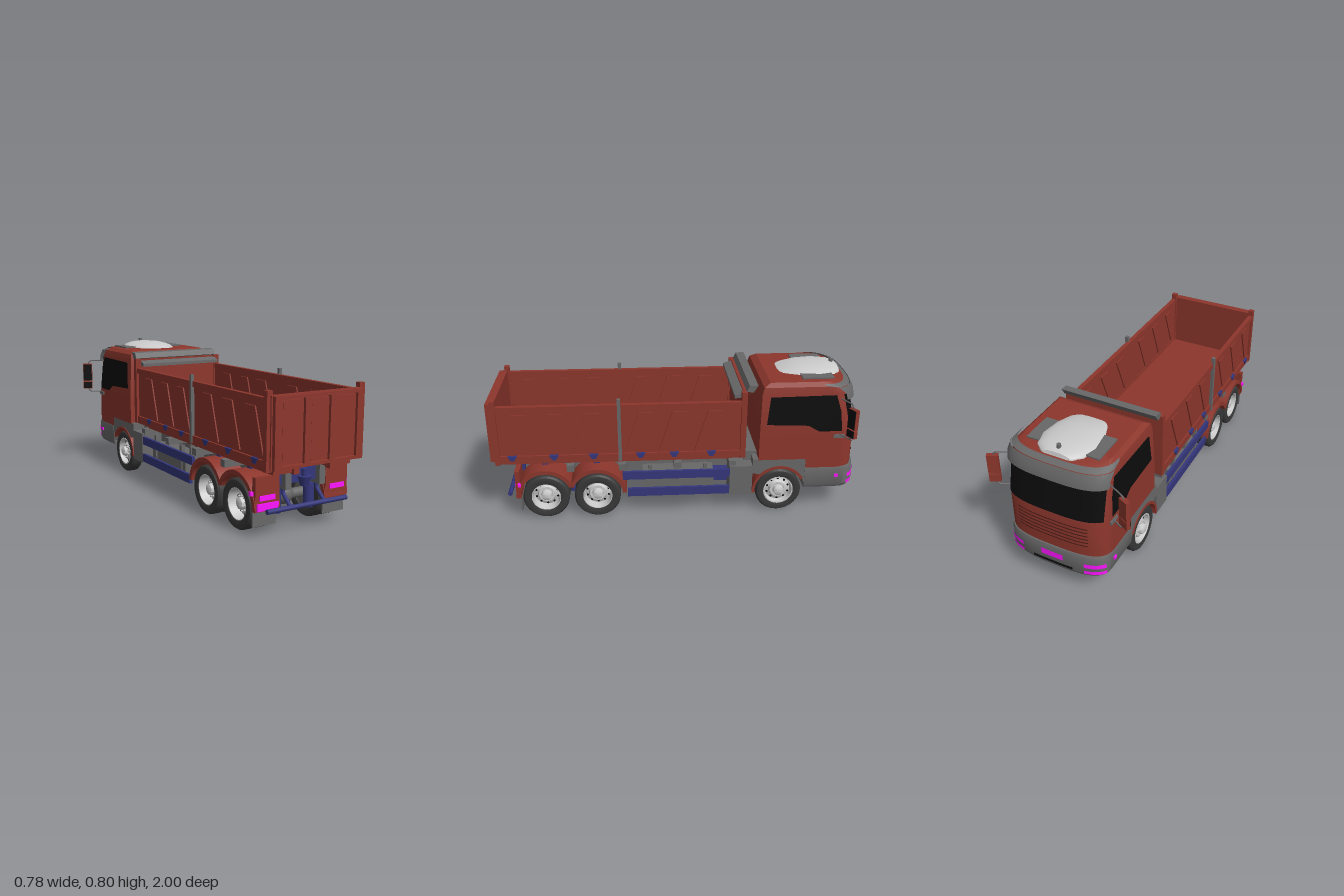
import * as THREE from 'three';
import { toCreasedNormals } from 'three/addons/utils/BufferGeometryUtils.js';

const mat = (color, side = THREE.FrontSide) => new THREE.MeshStandardMaterial({ color, side });
const RED = mat(0x8c362c), GROOVE = mat(0x4a1c17, THREE.DoubleSide), BLUE = mat(0x34367a), GREY = mat(0x686868, THREE.DoubleSide);
const LIGHT = mat(0xcccccc, THREE.DoubleSide), TYRE = mat(0x383838), BLACK = mat(0x0c0c0c, THREE.DoubleSide), LAMP = mat(0xff14ff, THREE.DoubleSide);

function add(parent, name, geometry, material, x = 0, y = 0, z = 0) {
  const mesh = new THREE.Mesh(geometry, material);
  mesh.name = name;
  mesh.position.set(x, y, z);
  parent.add(mesh);
  return mesh;
}
// Box given by its limits
function box(parent, name, material, x0, x1, y0, y1, z0, z1) {
  add(parent, name, new THREE.BoxGeometry(x1 - x0, y1 - y0, z1 - z0), material, (x0 + x1) / 2, (y0 + y1) / 2, (z0 + z1) / 2);
}
function boxPair(parent, name, material, x0, x1, ...rest) {
  box(parent, name, material, x0, x1, ...rest);
  box(parent, name, material, -x1, -x0, ...rest);
}
const vec2 = points => points.map(([a, b]) => new THREE.Vector2(a, b));
// Side outline of [z, y] points
const outlineZY = points => new THREE.Shape(vec2(points.map(([z, y]) => [-z, y])));
// Side outline (drawn with -z to the right) extruded along x
function slab(parent, name, material, shape, x0, x1) {
  const g = new THREE.ExtrudeGeometry(shape, { depth: x1 - x0, bevelEnabled: false, curveSegments: 20 }).rotateY(Math.PI / 2);
  add(parent, name, toCreasedNormals(g, 0.6), material, x0);
}
function slabPair(parent, name, material, shape, x0, x1) {
  slab(parent, name, material, shape, x0, x1);
  slab(parent, name, material, shape, -x1, -x0);
}
function tube(parent, name, material, points, r) {
  const path = new THREE.CatmullRomCurve3(points.map(p => new THREE.Vector3(...p)), false, 'catmullrom', 0.1);
  add(parent, name, new THREE.TubeGeometry(path, points.length * 8, r, 8), material);
}
// Surface through rows of points
function grid(rows, crease = 0.6) {
  const n = rows[0].length, index = [];
  for (let j = 0; j < rows.length - 1; j++) for (let i = 0; i < n - 1; i++) {
    const a = j * n + i;
    index.push(a, a + 1, a + n + 1, a, a + n + 1, a + n);
  }
  const g = new THREE.BufferGeometry();
  g.setAttribute('position', new THREE.Float32BufferAttribute(rows.flat(2), 3));
  g.setIndex(index);
  return toCreasedNormals(g, crease);
}

// Cab sections: [y, half width, front z, rear z]
const CAB = [[0.32, 0.275, -0.985, -0.44], [0.47, 0.275, -0.982, -0.44], [0.70, 0.265, -0.94, -0.445], [0.735, 0.258, -0.92, -0.455], [0.755, 0.235, -0.88, -0.49]];
const CHIN = [[0.265, 0.275, -0.985, -0.70], [0.32, 0.275, -0.985, -0.70]];
const BUMPER = [[0.14, 0.265, -0.99, -0.70], [0.16, 0.275, -0.998, -0.70], [0.255, 0.278, -0.998, -0.70], [0.27, 0.274, -0.992, -0.70]];
const BULGE = 0.12;
function sectionAt(rows, y) {
  let i = 0;
  while (i < rows.length - 2 && y > rows[i + 1][0]) i++;
  const t = (y - rows[i][0]) / (rows[i + 1][0] - rows[i][0]);
  return rows[i].map((v, k) => v + (rows[i + 1][k] - v) * t);
}
function nosePoint([y, w, front], a, out = 0) {
  const c = Math.cos(a), p = 2 / 3;
  return [(w + out) * Math.sign(c) * Math.abs(c) ** p, y, front + BULGE - (BULGE + out) * Math.max(0, Math.sin(a)) ** p];
}
// Solid with a rounded nose and flat back
function noseSolid(parent, name, material, rows) {
  const rings = rows.map(s => {
    const ring = [[s[1], s[0], s[3]]];
    for (let i = 0; i <= 32; i++) ring.push(nosePoint(s, Math.PI * i / 32));
    ring.push([-s[1], s[0], s[3]], [s[1], s[0], s[3]]);
    return ring;
  });
  const cap = s => rings[0].map(() => [0, s[0], (s[2] + s[3]) / 2]);
  add(parent, name, grid([cap(rows[0]), ...rings, cap(rows.at(-1))], 0.5), material);
}
// Panel following the nose between two x and two y values
function nosePatch(parent, name, material, rows, x0, x1, y0, y1, out = 0.004) {
  const strip = y => {
    const s = sectionAt(rows, y);
    const ang = x => Math.acos(Math.sign(x) * Math.min(1, Math.abs(x) / s[1]) ** 1.5);
    return Array.from({ length: 25 }, (_, i) => nosePoint(s, ang(x1) + (ang(x0) - ang(x1)) * i / 24, out));
  };
  add(parent, name, grid([y0, (y0 + y1) / 2, y1].map(strip)), material);
}
// Arc band around a wheel centre, seen from the side
function ringArc(z, r0, r1, a0, a1) {
  const s = new THREE.Shape();
  s.absarc(-z, 0.13, r1, a0, a1, false);
  s.absarc(-z, 0.13, r0, a1, a0, true);
  return s;
}

function buildCab(g) {
  noseSolid(g, 'cabShell', RED, CAB);
  noseSolid(g, 'cabChin', RED, CHIN);
  noseSolid(g, 'bumper', GREY, BUMPER);
  nosePatch(g, 'windshield', BLACK, CAB, -0.255, 0.255, 0.485, 0.69);
  nosePatch(g, 'sunVisor', GREY, CAB, -0.255, 0.255, 0.665, 0.735, 0.022);
  nosePatch(g, 'visorTop', GREY, CAB, -0.255, 0.255, 0.735, 0.75, 0.018);
  for (let i = 0; i < 6; i++) nosePatch(g, 'grilleSlot', GROOVE, CAB, -0.19, 0.19, 0.33 + i * 0.021, 0.336 + i * 0.021, 0.003);
  nosePatch(g, 'frontPlate', LAMP, BUMPER, -0.06, 0.06, 0.205, 0.24, 0.003);
  nosePatch(g, 'bumperSlot', BLACK, BUMPER, -0.11, 0.11, 0.165, 0.18, 0.003);
  for (const [a, b] of [[0.16, 0.18], [0.20, 0.225]]) {
    nosePatch(g, 'headlamp', LAMP, BUMPER, 0.17, 0.265, a, b);
    nosePatch(g, 'headlamp', LAMP, BUMPER, -0.265, -0.17, a, b);
  }
  // Side windows lie on the sloping flanks
  const outline = [[-0.475, 0.53], [-0.49, 0.685], [-0.84, 0.69], [-0.87, 0.60], [-0.885, 0.485], [-0.76, 0.485], [-0.70, 0.52]];
  for (const s of [1, -1]) {
    const win = new THREE.ShapeGeometry(new THREE.Shape(vec2(outline)));
    const p = win.attributes.position;
    for (let i = 0; i < p.count; i++) p.setXYZ(i, s * (sectionAt(CAB, p.getY(i))[1] + 0.003), p.getY(i), p.getX(i));
    win.computeVertexNormals();
    add(g, 'sideWindow', win, BLACK);
    // Mirrors on a bent arm
    tube(g, 'mirrorArm', GREY, [[s * 0.26, 0.665, -0.87], [s * 0.335, 0.665, -0.905], [s * 0.352, 0.65, -0.91], [s * 0.352, 0.48, -0.91], [s * 0.335, 0.465, -0.905], [s * 0.265, 0.465, -0.87]], 0.004);
    for (const [y, h] of [[0.59, 0.11], [0.508, 0.045]]) {
      const m = new THREE.Group();
      m.name = 'mirror';
      m.position.set(s * 0.358, y, -0.912);
      m.rotation.y = s * 0.45;
      box(m, 'mirrorCase', RED, -0.028, 0.028, -h / 2, h / 2, -0.012, 0.012);
      box(m, 'mirrorGlass', BLACK, -0.026, 0.026, -h / 2 + 0.003, h / 2 - 0.003, 0.01, 0.014);
      g.add(m);
    }
  }
  boxPair(g, 'doorHandle', GREY, 0.27, 0.282, 0.445, 0.465, -0.90, -0.84);
  boxPair(g, 'sideMarker', LAMP, 0.27, 0.284, 0.207, 0.225, -0.885, -0.865);
  // Wheel arches
  const arch = outlineZY([[-0.41, 0.24], [-0.41, 0.325], [-0.70, 0.325], [-0.73, 0.27], [-0.73, 0.16], [-0.705, 0.16]]);
  arch.absarc(0.56, 0.13, 0.145, 0.2, Math.PI * 0.75, false);
  slabPair(g, 'frontArch', GREY, arch, 0.15, 0.274);
  slabPair(g, 'archLip', RED, ringArc(-0.56, 0.135, 0.15, 0.5, 3.2), 0.16, 0.278);
  // Roof fairing with side wings and beacon
  const stations = [[-0.90, 0.06, 0.001], [-0.895, 0.08, 0.022], [-0.86, 0.125, 0.034], [-0.78, 0.148, 0.038], [-0.68, 0.135, 0.034], [-0.60, 0.105, 0.018], [-0.56, 0.075, 0.002]];
  const shell = stations.map(([z, w, h]) => Array.from({ length: 13 }, (_, i) => {
    const a = Math.PI * i / 12;
    return [w * Math.cos(a), 0.752 + h * Math.sin(a), z];
  }));
  add(g, 'roofFairing', grid(shell, 0.4), LIGHT);
  boxPair(g, 'fairingWing', GREY, 0.12, 0.195, 0.745, 0.763, -0.84, -0.67);
  add(g, 'beacon', new THREE.CylinderGeometry(0.011, 0.011, 0.03, 12), GREY, 0, 0.785, -0.865);
}

function buildBed(g) {
  box(g, 'bedFloor', RED, -0.265, 0.265, 0.34, 0.365, -0.35, 0.96);
  boxPair(g, 'bedSubframe', RED, 0.09, 0.225, 0.312, 0.345, -0.30, 0.95);
  boxPair(g, 'bedSide', RED, 0.257, 0.267, 0.345, 0.66, -0.36, 0.96);
  boxPair(g, 'topRail', RED, 0.253, 0.278, 0.638, 0.667, -0.36, 0.96);
  boxPair(g, 'bottomRail', RED, 0.255, 0.278, 0.343, 0.385, -0.36, 0.96);
  // Slanted pressings inside and out
  for (const z of [0.86, 0.67, 0.48, 0.20, 0.02, -0.17])
    slabPair(g, 'sideRib', RED, outlineZY([[z + 0.08, 0.395], [z + 0.02, 0.395], [z - 0.07, 0.62], [z + 0.01, 0.62]]), 0.250, 0.274);
  for (const z of [0.88, 0.66, 0.45, 0.20, 0.02, -0.18])
    slabPair(g, 'sideHinge', BLUE, outlineZY([[z - 0.025, 0.387], [z + 0.025, 0.387], [z + 0.01, 0.36], [z - 0.01, 0.36]]), 0.27, 0.284);
  boxPair(g, 'sidePost', GREY, 0.267, 0.285, 0.345, 0.70, 0.30, 0.318);
  boxPair(g, 'frontPost', RED, 0.25, 0.283, 0.343, 0.72, -0.365, -0.335);
  box(g, 'frontWall', RED, -0.275, 0.275, 0.343, 0.718, -0.362, -0.345);
  // Tailgate with three framed panels
  box(g, 'tailgate', RED, -0.262, 0.262, 0.343, 0.678, 0.955, 0.98);
  const frame = new THREE.Shape(vec2([[-0.255, 0.345], [0.255, 0.345], [0.255, 0.676], [-0.255, 0.676]]));
  for (const [a, b] of [[-0.215, -0.09], [-0.055, 0.055], [0.09, 0.215]]) {
    frame.holes.push(new THREE.Path(vec2([[a, 0.36], [a, 0.66], [b, 0.66], [b, 0.36]])));
    box(g, 'tailgatePanel', RED, a + 0.006, b - 0.006, 0.366, 0.654, 0.975, 0.993);
  }
  add(g, 'tailgateFrame', new THREE.ExtrudeGeometry(frame, { depth: 0.02, bevelEnabled: false }), RED, 0, 0, 0.98);
  boxPair(g, 'rearPost', RED, 0.25, 0.28, 0.335, 0.70, 0.945, 0.972);
  boxPair(g, 'tailgateHinge', RED, 0.09, 0.12, 0.305, 0.35, 0.93, 0.965);
  // Cab guard over the front wall
  slab(g, 'guardTop', GREY, outlineZY([[-0.42, 0.755], [-0.375, 0.752], [-0.36, 0.722], [-0.395, 0.715]]), -0.27, 0.27);
  slab(g, 'guardLip', GREY, outlineZY([[-0.36, 0.715], [-0.30, 0.695], [-0.30, 0.678], [-0.36, 0.685]]), -0.252, 0.252);
}

function makeWheel(dual) {
  const w = new THREE.Group();
  w.name = dual ? 'rearWheel' : 'frontWheel';
  const lathe = pts => toCreasedNormals(new THREE.LatheGeometry(vec2(pts), 36).rotateZ(-Math.PI / 2), 0.6);
  const disc = (r, h, sides) => new THREE.CylinderGeometry(r, r, h, sides).rotateZ(Math.PI / 2);
  const tread = [[0.08, -0.03], [0.10, -0.036], [0.118, -0.033], [0.126, -0.022], [0.126, 0.022], [0.118, 0.033], [0.10, 0.036], [0.08, 0.03], [0.08, -0.03]];
  for (const x of dual ? [0.165, 0.238] : [0.234]) add(w, 'tyre', lathe(tread), TYRE, x);
  // Dished rim with hub
  const d = dual ? -0.014 : 0.008;
  add(w, 'rim', lathe([[0.081, -0.03], [0.083, 0.031], [0.076, 0.031], [0.07, d - 0.008], [0.052, d], [0.045, d + 0.012], [0.03, d + 0.012], [0.027, d + 0.032], [0.016, d + 0.038], [0, d + 0.038]]), LIGHT, 0.236);
  add(w, 'rimBack', disc(0.081, 0.006, 32), GREY, dual ? 0.145 : 0.21);
  for (let i = 0; i < 10; i++) {
    const a = i * Math.PI / 5;
    add(w, 'bolt', disc(0.004, 0.012, 6), LIGHT, 0.252 + d, 0.038 * Math.cos(a), 0.038 * Math.sin(a));
    add(w, 'ventHole', disc(0.006, 0.004, 10), BLACK, 0.233 + d, 0.061 * Math.cos(a), 0.061 * Math.sin(a));
  }
  return w;
}

function buildChassis(g) {
  boxPair(g, 'chassisRail', GREY, 0.083, 0.118, 0.215, 0.312, -0.88, 0.90);
  for (const z of [-0.3, 0.0, 0.3, 0.58]) box(g, 'crossMember', GREY, -0.26, 0.26, 0.275, 0.312, z - 0.02, z + 0.02);
  box(g, 'engine', GREY, -0.13, 0.13, 0.17, 0.32, -0.88, -0.42);
  box(g, 'underTray', BLUE, -0.15, 0.15, 0.135, 0.155, -0.36, 0.0);
  box(g, 'cabBackFrame', GREY, -0.2, 0.2, 0.25, 0.34, -0.46, -0.37);
  boxPair(g, 'bedStrut', GREY, 0.20, 0.225, 0.22, 0.345, 0.19, 0.205);
  // Side equipment and guards
  boxPair(g, 'batteryBox', GREY, 0.15, 0.274, 0.11, 0.285, -0.41, -0.285);
  boxPair(g, 'sideTank', GREY, 0.135, 0.25, 0.13, 0.245, -0.20, 0.19);
  boxPair(g, 'upperGuard', BLUE, 0.255, 0.272, 0.222, 0.268, -0.285, 0.30);
  boxPair(g, 'lowerGuard', BLUE, 0.255, 0.272, 0.118, 0.165, -0.285, 0.275);
  for (const z of [-0.15, 0.15]) boxPair(g, 'guardBracket', GREY, 0.235, 0.258, 0.125, 0.30, z - 0.01, z + 0.01);
  // Axles and wheels
  for (const z of [-0.56, 0.44, 0.72]) {
    add(g, 'axle', new THREE.CylinderGeometry(0.026, 0.026, 0.42, 16).rotateZ(Math.PI / 2), GREY, 0, 0.13, z);
    if (z > 0) add(g, 'differential', new THREE.SphereGeometry(0.055, 20, 14), GREY, 0, 0.14, z);
    for (const turn of [0, Math.PI]) {
      const wheel = makeWheel(z > 0);
      wheel.position.set(0, 0.126, z);
      wheel.rotation.y = turn;
      g.add(wheel);
    }
  }
  for (const z of [0.58, 0.80]) for (const x of [-0.1, 0.1])
    add(g, 'airSpring', new THREE.CylinderGeometry(0.027, 0.027, 0.12, 18), BLUE, x, 0.14, z);
  // Rear fenders and tail panels
  for (const [z, a0, a1] of [[0.44, 0.1, 2.75], [0.72, 0.4, 3.1]]) {
    slabPair(g, 'rearFender', RED, ringArc(z, 0.14, 0.162, a0, a1), 0.132, 0.277);
    boxPair(g, 'fenderBracket', BLUE, 0.11, 0.20, 0.26, 0.315, z - 0.015, z + 0.015);
  }
  boxPair(g, 'tailPanel', RED, 0.137, 0.272, 0.125, 0.29, 0.855, 0.88);
  boxPair(g, 'tailLamp', LAMP, 0.162, 0.25, 0.178, 0.202, 0.875, 0.886);
  box(g, 'rearPlate', LAMP, -0.265, -0.145, 0.13, 0.165, 0.875, 0.888);
  boxPair(g, 'rearMarker', LAMP, 0.27, 0.288, 0.203, 0.222, 0.85, 0.865);
  boxPair(g, 'mudFlap', GREY, 0.14, 0.272, 0.05, 0.127, 0.852, 0.86);
  // Rear cross beam, hitch and underrun bar
  box(g, 'rearCrossBeam', BLUE, -0.15, 0.15, 0.235, 0.308, 0.84, 0.87);
  box(g, 'rearTank', BLUE, -0.09, 0.09, 0.155, 0.225, 0.56, 0.60);
  add(g, 'hitch', new THREE.CylinderGeometry(0.014, 0.014, 0.085, 14), BLUE, 0, 0.26, 0.89);
  add(g, 'hitchJaw', new THREE.CylinderGeometry(0.034, 0.02, 0.045, 14), BLUE, 0, 0.245, 0.89);
  add(g, 'underrunBar', new THREE.CylinderGeometry(0.012, 0.012, 0.47, 14).rotateZ(Math.PI / 2), BLUE, 0, 0.135, 0.92);
  for (const s of [1, -1]) tube(g, 'underrunArm', BLUE, [[s * 0.1, 0.27, 0.85], [s * 0.1, 0.19, 0.86], [s * 0.1, 0.137, 0.92]], 0.01);
}

export function createModel() {
  const model = new THREE.Group();
  model.name = 'dumpTruck';
  for (const [name, build] of [['cab', buildCab], ['bed', buildBed], ['chassis', buildChassis]]) {
    const part = new THREE.Group();
    part.name = name;
    build(part);
    model.add(part);
  }
  return model;
}
